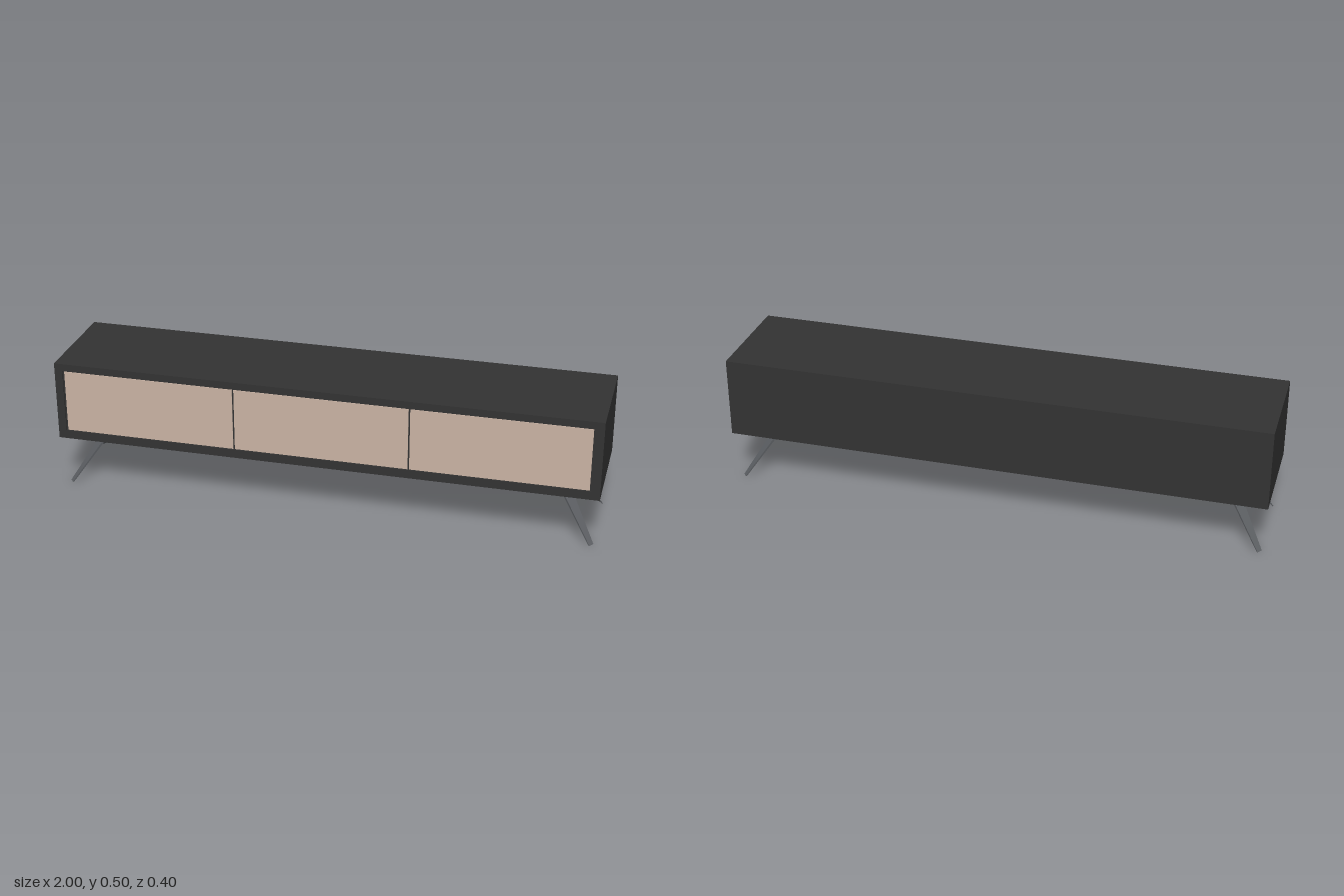
import * as THREE from 'three';

const mat = (name, color) => {
  const m = new THREE.MeshStandardMaterial({ color });
  m.name = name;
  return m;
};

export function createModel() {
  const group = new THREE.Group();
  const charcoal = mat('charcoal body', 0x333333);
  const wood = mat('pale wood', 0xc9b3a4);
  const steel = mat('grey steel', 0x5c5f63);

  const add = (name, geometry, material, x = 0, y = 0, z = 0) => {
    const mesh = new THREE.Mesh(geometry, material);
    mesh.name = name;
    mesh.position.set(x, y, z);
    group.add(mesh);
    return mesh;
  };

  // Cabinet body, with a shallow frame around the front opening
  add('cabinetBody', new THREE.BoxGeometry(2, 0.3, 0.396), charcoal, 0, 0.35, -0.002);
  const rect = (s, x, y0, y1) =>
    s.moveTo(-x, y0).lineTo(x, y0).lineTo(x, y1).lineTo(-x, y1).closePath();
  const frame = rect(new THREE.Shape(), 1, 0.2, 0.5);
  frame.holes.push(rect(new THREE.Path(), 0.97, 0.233, 0.472));
  add('frontFrame', new THREE.ExtrudeGeometry(frame, { depth: 0.004, bevelEnabled: false }),
    charcoal, 0, 0, 0.196);

  // Three front panels with narrow gaps between them
  for (const i of [-1, 0, 1]) {
    add('frontPanel', new THREE.BoxGeometry(0.638, 0.235, 0.003), wood, i * 0.644, 0.3525, 0.1975);
  }

  // Flat tapered legs, splayed towards the four corners
  const top = new THREE.Vector3(0.848, 0.2, 0.063);
  const foot = new THREE.Vector3(0.978, 0, 0.161);
  const out = new THREE.Vector3(0.8, 0, 0.6);
  const across = new THREE.Vector3(-0.6, 0, 0.8);
  for (const sx of [1, -1]) {
    for (const sz of [1, -1]) {
      const g = new THREE.BoxGeometry(1, 1, 1);
      const p = g.attributes.position;
      for (let i = 0; i < p.count; i++) {
        const upper = p.getY(i) > 0;
        const v = (upper ? top : foot).clone()
          .addScaledVector(out, p.getX(i) * (upper ? 0.012 : 0.005))
          .addScaledVector(across, p.getZ(i) * (upper ? 0.048 : 0.021));
        p.setXYZ(i, v.x * sx, v.y, v.z * sz);
      }
      // Keep faces outward: the rule preserves winding unless one axis is mirrored
      if (sx * sz < 0) {
        const idx = g.index.array;
        for (let i = 0; i < idx.length; i += 3) [idx[i], idx[i + 1]] = [idx[i + 1], idx[i]];
      }
      g.computeVertexNormals();
      add((sz > 0 ? 'front' : 'back') + (sx > 0 ? 'Left' : 'Right') + 'Leg', g, steel);
    }
  }
  return group;
}
